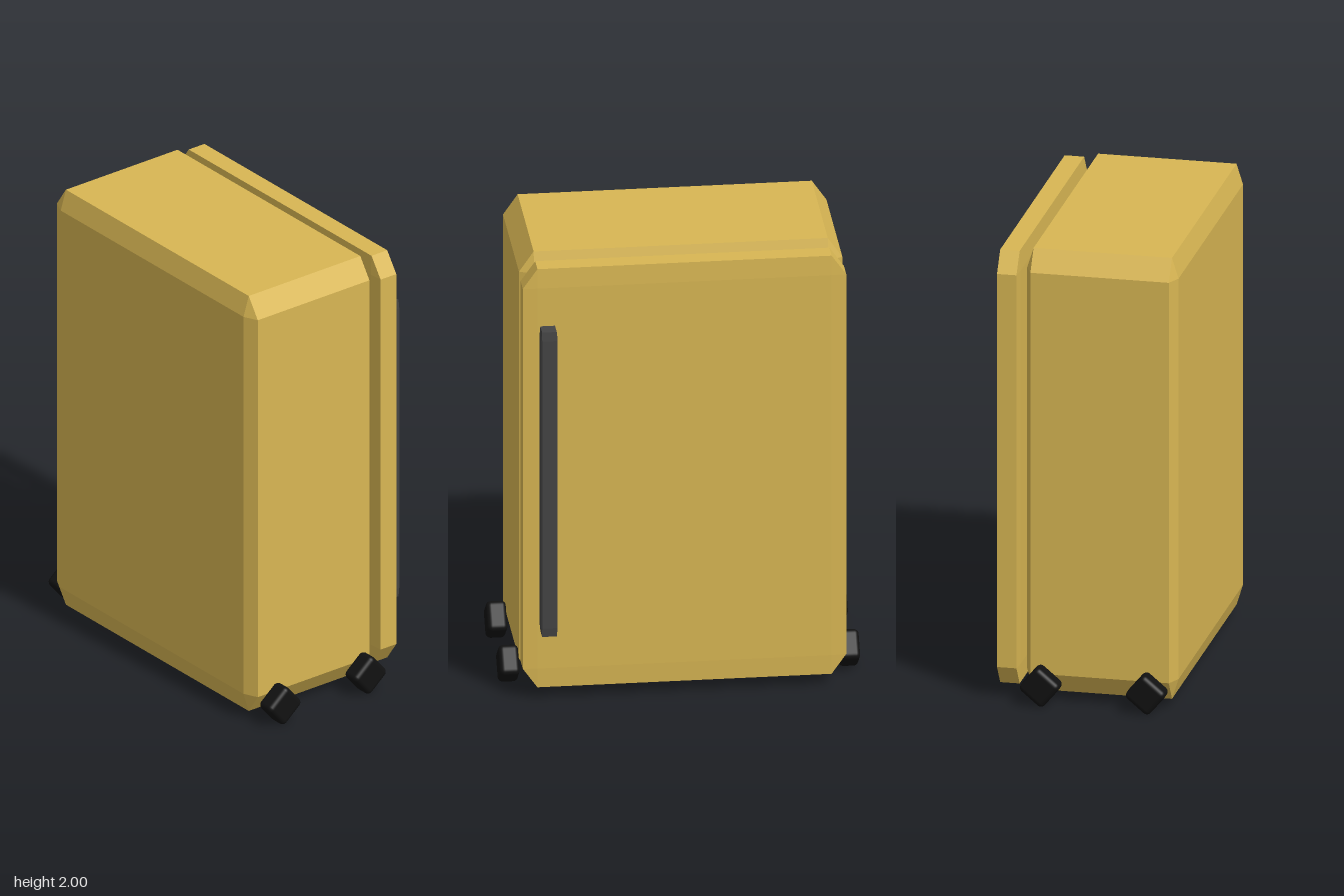
import * as THREE from 'three';
import { ConvexGeometry } from 'three/addons/geometries/ConvexGeometry.js';
import { RoundedBoxGeometry } from 'three/addons/geometries/RoundedBoxGeometry.js';

const shellMat = new THREE.MeshStandardMaterial({ color: 0xd8b653, flatShading: true });
const handleMat = new THREE.MeshStandardMaterial({ color: 0x444444, flatShading: true });
const wheelMat = new THREE.MeshStandardMaterial({ color: 0x111111 });

// Box with every edge chamfered; the cut (cx, cy, cz) may differ per axis
function chamferedBox(name, material, min, max, cut) {
  const half = max.map((v, i) => (v - min[i]) / 2);
  const points = [];
  for (const sx of [-1, 1]) for (const sy of [-1, 1]) for (const sz of [-1, 1]) {
    const sign = [sx, sy, sz];
    // each corner becomes three points, one on each adjoining face
    for (let face = 0; face < 3; face++) {
      points.push(new THREE.Vector3(
        ...sign.map((s, i) => s * (half[i] - (i === face ? 0 : cut[i])))));
    }
  }
  const mesh = new THREE.Mesh(new ConvexGeometry(points), material);
  mesh.name = name;
  mesh.position.set(...min.map((v, i) => (v + max[i]) / 2));
  return mesh;
}

export function createModel() {
  const suitcase = new THREE.Group();
  suitcase.name = 'suitcase';

  // Deep shell, thin back lid, and the upright handle bar on the lid
  suitcase.add(
    chamferedBox('mainShell', shellMat, [-0.69, 0.037, -0.233], [0.68, 2, 0.42], [0.062, 0.09, 0.028]),
    chamferedBox('backLid', shellMat, [-0.69, 0.056, -0.353], [0.68, 1.982, -0.261], [0.062, 0.088, 0.004]),
    chamferedBox('handleBar', handleMat, [0.54, 0.318, -0.423], [0.61, 1.72, -0.347], [0.004, 0.04, 0.004]),
  );

  // Four soft-cornered wheels, standing on their corners
  const wheelGeo = new RoundedBoxGeometry(0.086, 0.133, 0.133, 4, 0.022);
  for (const side of [-1, 1]) for (const z of [0.304, -0.153]) {
    const wheel = new THREE.Mesh(wheelGeo, wheelMat);
    wheel.name = (side > 0 ? 'left' : 'right') + (z > 0 ? 'Front' : 'Back') + 'Wheel';
    wheel.position.set(side * 0.721, 0.086, z);
    wheel.rotation.x = THREE.MathUtils.degToRad(40);
    suitcase.add(wheel);
  }
  return suitcase;
}
